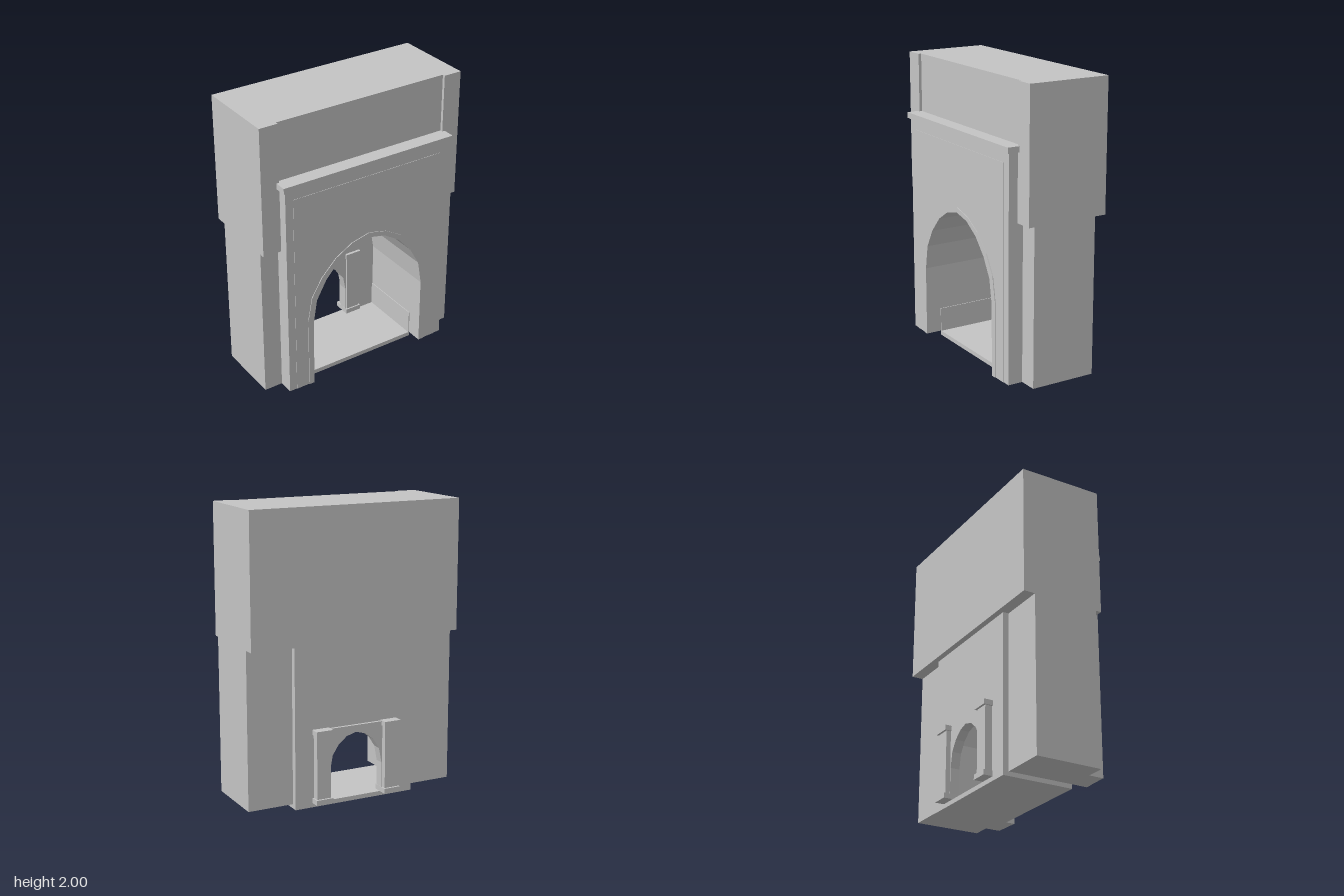
import * as THREE from 'three';

const stone = new THREE.MeshStandardMaterial({ color: 0xc4c4c4 });
stone.name = 'grey stone';

const BASE = 0.03; // underside of the masonry, on top of the hearth line

// Right half of each arch, from the foot up to the crown
const bigArch = [[0.44, BASE], [0.44, 0.52], [0.412, 0.69], [0.34, 0.82], [0.24, 0.932], [0.125, 1.005], [0, 1.033]];
const smallArch = [[0.197, BASE], [0.195, 0.24], [0.175, 0.345], [0.13, 0.415], [0.07, 0.463], [0, 0.483]];

export function createModel() {
  const model = new THREE.Group();
  model.name = 'fireplace';

  const add = (name, geometry) => {
    const mesh = new THREE.Mesh(geometry, stone);
    mesh.name = name;
    model.add(mesh);
  };

  // Box given by its limits on each axis
  const block = (name, x0, x1, y0, y1, z0, z1) => {
    const g = new THREE.BoxGeometry(x1 - x0, y1 - y0, z1 - z0);
    add(name, g.translate((x0 + x1) / 2, (y0 + y1) / 2, (z0 + z1) / 2));
  };

  // Slab with an arched doorway cut up from its foot; outer is the right half of the outline
  const archSlab = (name, outer, arch, z0, z1) => {
    const mirror = (p) => [-p[0], p[1]];
    const inner = [...arch, ...arch.slice(0, -1).reverse().map(mirror)];
    const rim = [...outer.map(mirror), ...outer.slice().reverse()];
    const shape = new THREE.Shape([...inner, ...rim].map(([x, y]) => new THREE.Vector2(x, y)));
    const g = new THREE.ExtrudeGeometry(shape, { depth: z1 - z0, bevelEnabled: false });
    add(name, g.translate(0, 0, z0));
  };
  const rect = (w, h) => [[w, BASE], [w, h]];

  // Hearth and masonry around the vaulted firebox
  block('hearth', -0.44, 0.44, 0, BASE, -0.28, 0.22);
  archSlab('lowerBody', rect(0.76, 1.105), bigArch, -0.24, 0.22);
  archSlab('backPanel', rect(0.44, 1.105), smallArch, -0.28, -0.24);

  // Chimney breast, recessed between two front strips
  block('chimneyBreast', -0.76, 0.76, 1.105, 2, -0.32, 0.24);

  // Front surround with a thin raised panel and arch moulding
  archSlab('surround', rect(0.63, 1.56), bigArch, 0.22, 0.325);
  archSlab('surroundPanel', rect(0.575, 1.49), bigArch, 0.325, 0.328);
  const mouldingRim = bigArch.slice(0, -1).map(([x, y], i) => [x * 1.09, i ? y + 0.03 : y]);
  archSlab('archMoulding', [...mouldingRim, [0.001, 1.068]], bigArch, 0.328, 0.333);
  block('mantelShelf', -0.65, 0.65, 1.56, 1.6, 0.23, 0.345);

  // Arched frame joining the rear columns
  archSlab('rearArchFrame', rect(0.2, 0.53), smallArch, -0.3, -0.235);

  for (const s of [-1, 1]) {
    const pair = (name, a, b, ...rest) => block(name, Math.min(s * a, s * b), Math.max(s * a, s * b), ...rest);
    pair('chimneyStrip', 0.63, 0.76, 1.105, 2, 0.24, 0.26);
    pair('fireboxSkirting', 0.434, 0.44, BASE, 0.2, -0.24, 0.22);
    // Columns pass through the back wall and show on both sides
    pair('column', 0.205, 0.305, 0.065, 0.5, -0.33, -0.23);
    pair('columnBase', 0.195, 0.315, BASE, 0.065, -0.345, -0.22);
    pair('columnCapital', 0.195, 0.315, 0.5, 0.535, -0.345, -0.22);
  }

  return model;
}
